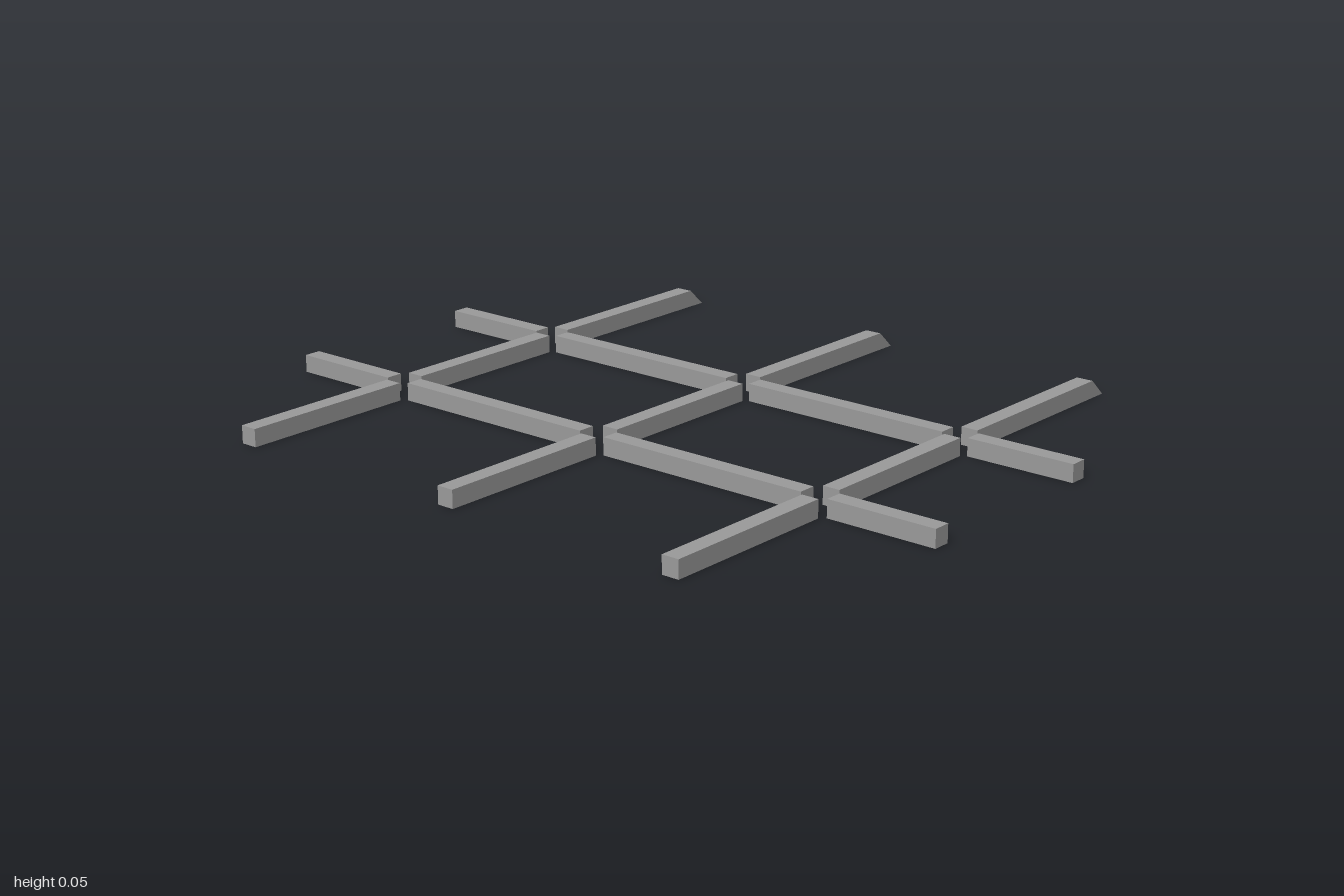
import * as THREE from 'three';

const H = 0.046; // bar height
const W = 0.046; // bar width

export function createModel() {
  const group = new THREE.Group();
  const material = new THREE.MeshStandardMaterial({ color: 0x999999, flatShading: true });

  function addBar(name, x0, x1, z0, z1) {
    const geometry = new THREE.BoxGeometry(x1 - x0, H, z1 - z0);
    geometry.translate((x0 + x1) / 2, H / 2, (z0 + z1) / 2);
    const mesh = new THREE.Mesh(geometry, material);
    mesh.name = name;
    group.add(mesh);
    return mesh;
  }

  // Cross bars: two rows, each split where the long bars pass
  const crossSpans = [[-1, -0.692], [-0.62, -0.032], [0.043, 0.634], [0.707, 1]];
  for (const z of [-0.23, 0.321]) {
    for (const [x0, x1] of crossSpans) addBar('crossBar', x0, x1, z - W / 2, z + W / 2);
  }

  // Long bars: three columns, each split where the cross bars pass
  const longSpans = [[-0.837, -0.269], [-0.197, 0.28], [0.357, 0.837]];
  for (const x of [-0.658, 0.007, 0.67]) {
    longSpans.forEach(([z0, z1], i) => {
      const bar = addBar('longBar', x - W / 2, x + W / 2, z0, z1);
      if (i > 0) return;
      // Slanted rear tip: pull the top rear edge forward
      bar.name = 'bevelledLongBar';
      const p = bar.geometry.attributes.position;
      for (let k = 0; k < p.count; k++) {
        if (p.getY(k) > H / 2 && p.getZ(k) < z0 + 0.01) p.setZ(k, z0 + 0.05);
      }
      bar.geometry.computeVertexNormals();
    });
  }
  return group;
}
